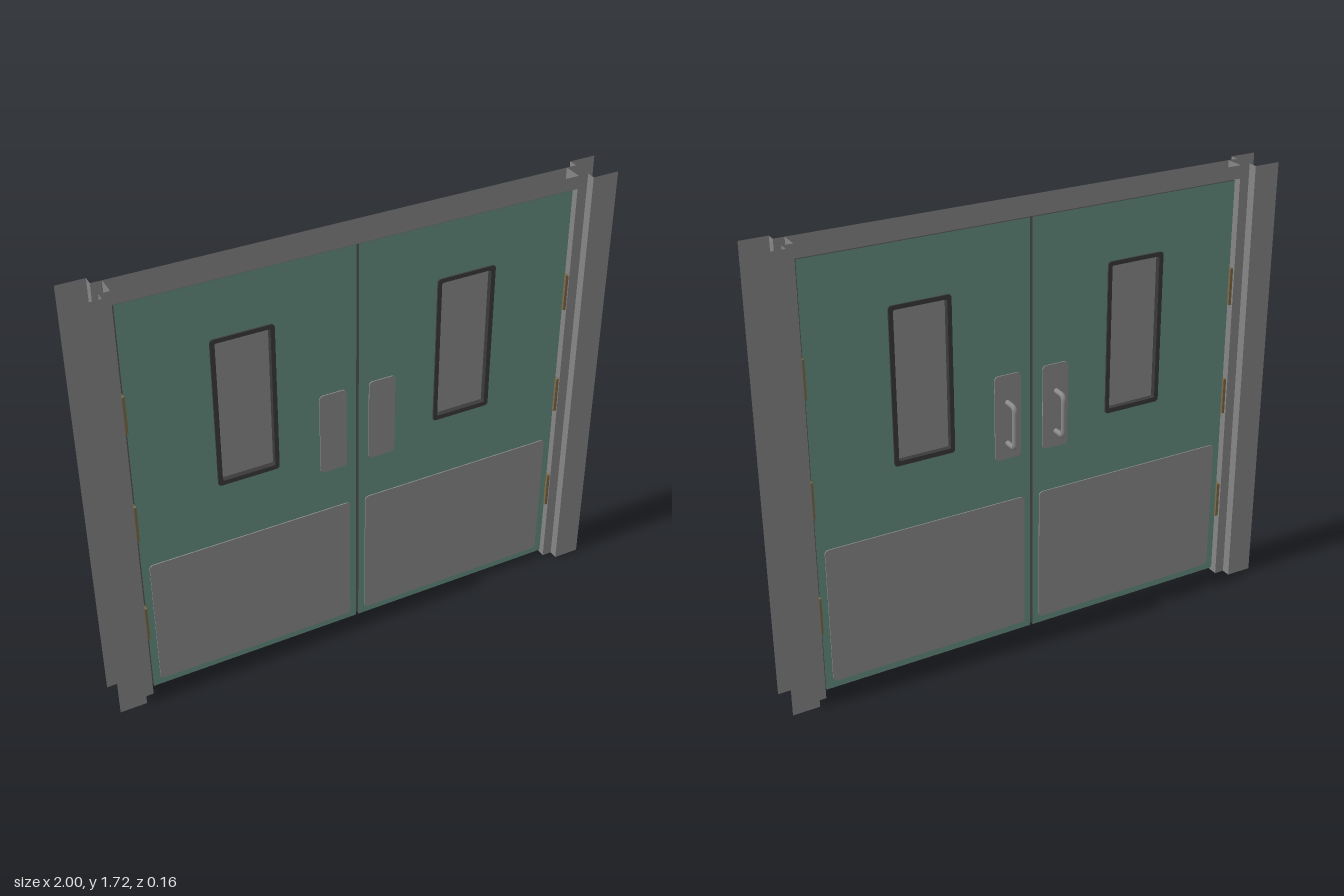
import * as THREE from 'three';

const mat = (name, color, side = THREE.FrontSide) => {
  const m = new THREE.MeshStandardMaterial({ color, side });
  m.name = name;
  return m;
};

// Rectangle with rounded corners, as a shape or a hole
function roundRect(x0, x1, y0, y1, r, Type = THREE.Shape) {
  const p = new Type();
  p.moveTo(x0 + r, y0);
  p.lineTo(x1 - r, y0);
  p.absarc(x1 - r, y0 + r, r, -Math.PI / 2, 0);
  p.absarc(x1 - r, y1 - r, r, 0, Math.PI / 2);
  p.absarc(x0 + r, y1 - r, r, Math.PI / 2, Math.PI);
  p.absarc(x0 + r, y0 + r, r, Math.PI, Math.PI * 1.5);
  return p;
}

// Extrude a shape between two z values
function slab(shape, z0, z1) {
  return new THREE.ExtrudeGeometry(shape, { depth: z1 - z0, bevelEnabled: false, curveSegments: 5 })
    .translate(0, 0, z0);
}

// Folded sheet: a strip of flat faces along a profile, swept from a to b
function sheet(profile, a, b, place) {
  const pos = [];
  for (let i = 0; i + 1 < profile.length; i++) {
    const [p, q] = [profile[i], profile[i + 1]];
    const c = [place(p, a), place(q, a), place(q, b), place(p, b)];
    for (const k of [0, 1, 2, 0, 2, 3]) pos.push(...c[k]);
  }
  const g = new THREE.BufferGeometry();
  g.setAttribute('position', new THREE.Float32BufferAttribute(pos, 3));
  g.computeVertexNormals();
  return g;
}

export function createModel() {
  const model = new THREE.Group();
  model.name = 'doubleDoor';
  const steel = mat('steel', 0x8a8a8a);
  const frameSteel = mat('frameSteel', 0x868686, THREE.DoubleSide);
  const green = mat('greenPaint', 0x668f80);
  const dark = mat('darkTrim', 0x3a3a3a, THREE.DoubleSide);
  const bronze = mat('hingeBronze', 0x7d6a48);

  const add = (parent, name, geo, material, x = 0, y = 0, z = 0) => {
    const m = new THREE.Mesh(geo, material);
    m.name = name;
    m.position.set(x, y, z);
    parent.add(m);
    return m;
  };

  const TOP = 1.715, F = 0.03, B = -0.011;       // frame top, door front and back
  const STOP_F = 0.045, STOP_B = -0.029;         // raised middle of the frame

  for (const s of [1, -1]) {
    const side = new THREE.Group();
    side.name = s > 0 ? 'leftSide' : 'rightSide';
    model.add(side);
    const span = (a, b) => (s > 0 ? [a, b] : [-b, -a]);
    const plate = (a, b, y0, y1, r, Type) => roundRect(...span(a, b), y0, y1, r, Type);

    // Jamb: open hat section, open towards the wall
    const jamb = [[1, 0.079], [0.897, 0.079], [0.897, STOP_F], [0.858, STOP_F],
      [0.858, STOP_B], [0.897, STOP_B], [0.897, -0.065], [1, -0.065]];
    add(side, 'jamb', sheet(jamb, 0, TOP, (p, t) => [s * p[0], t, p[1]]), frameSteel);

    // Door leaf with a window opening
    const leaf = new THREE.Shape();
    const [x0, x1] = span(0.005, 0.849);
    leaf.moveTo(x0, 0.022);
    leaf.lineTo(x1, 0.022);
    leaf.lineTo(x1, 1.655);
    leaf.lineTo(x0, 1.655);
    leaf.closePath();
    leaf.holes.push(plate(0.322, 0.532, 0.86, 1.428, 0.008, THREE.Path));
    add(side, 'doorLeaf', slab(leaf, B, F), [green, dark]);

    // Window frame and pane
    const ring = plate(0.311, 0.544, 0.848, 1.44, 0.012);
    ring.holes.push(plate(0.327, 0.527, 0.866, 1.424, 0.006, THREE.Path));
    add(side, 'windowFrame', slab(ring, B - 0.006, F + 0.006), dark);
    add(side, 'windowPane', new THREE.BoxGeometry(0.206, 0.562, 0.012), steel,
      s * 0.427, 1.145, (F + B) / 2);

    // Kick plates and hand plates on both faces
    for (const [z0, z1, face] of [[F, F + 0.004, 'front'], [B - 0.004, B, 'back']]) {
      add(side, face + 'KickPlate', slab(plate(0.032, 0.82, 0.05, 0.593, 0.015), z0, z1), steel);
      add(side, face + 'HandPlate', slab(plate(0.045, 0.15, 0.767, 1.097, 0.015), z0, z1), steel);
    }

    // Pull handle on the back
    const pull = new THREE.CurvePath();
    const v = (y, z) => new THREE.Vector3(s * 0.1, y, z);
    const zo = -0.069;
    pull.add(new THREE.LineCurve3(v(0.83, B), v(0.83, zo + 0.02)));
    pull.add(new THREE.QuadraticBezierCurve3(v(0.83, zo + 0.02), v(0.83, zo), v(0.85, zo)));
    pull.add(new THREE.LineCurve3(v(0.85, zo), v(0.97, zo)));
    pull.add(new THREE.QuadraticBezierCurve3(v(0.97, zo), v(0.99, zo), v(0.99, zo + 0.02)));
    pull.add(new THREE.LineCurve3(v(0.99, zo + 0.02), v(0.99, B)));
    add(side, 'pullHandle', new THREE.TubeGeometry(pull, 48, 0.01, 10), steel);

    // Hinges: leaf through the jamb with raised ribs
    for (const y of [0.34, 0.797, 1.247]) {
      add(side, 'hinge', new THREE.BoxGeometry(0.018, 0.145, 0.062), bronze, s * 0.856, y, 0.01);
      for (const z of [0, 0.02]) {
        add(side, 'hingeRib', new THREE.BoxGeometry(0.004, 0.14, 0.005), steel, s * 0.866, y, z);
      }
    }
  }

  // Header: two upright flanges joined by a dark soffit
  const flange = (z) => sheet([[1.665, z], [TOP, z]], -0.858, 0.858, (p, t) => [t, p[0], p[1]]);
  add(model, 'headerFront', flange(STOP_F), frameSteel);
  add(model, 'headerBack', flange(STOP_B), frameSteel);
  add(model, 'headerSoffit', sheet([[1.665, STOP_F], [1.665, STOP_B]], -0.858, 0.858,
    (p, t) => [t, p[0], p[1]]), dark);

  return model;
}
